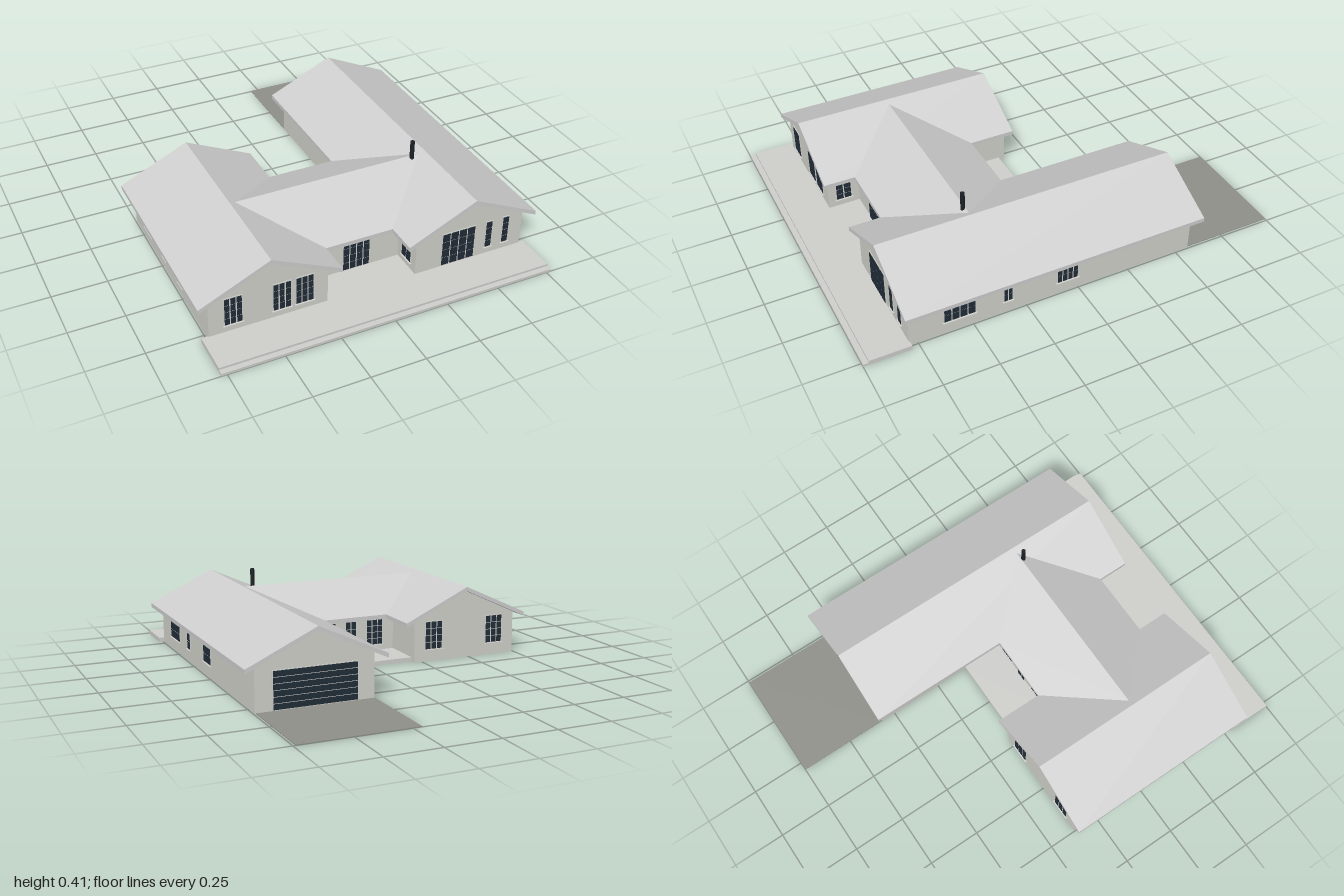
import * as THREE from 'three';

const mat = (name, color) => {
  const m = new THREE.MeshStandardMaterial({ color });
  m.name = name;
  return m;
};

export function createModel() {
  const house = new THREE.Group();
  house.name = 'house';
  const wall = mat('wall render', 0xd2d2cc);
  const roof = mat('roof sheet', 0xcfcfcf);
  const trim = mat('trim', 0xd4d4d0);
  const paving = mat('paving', 0xcfcfcc);
  const drive = mat('driveway concrete', 0x90908a);
  const glass = mat('dark glass', 0x212d38);
  const flue = mat('flue metal', 0x1c2126);

  const add = (name, geo, material, parent = house) => {
    const m = new THREE.Mesh(geo, material);
    m.name = name;
    parent.add(m);
    return m;
  };
  // box given by its limits on each axis
  const box = (name, material, x0, x1, y0, y1, z0, z1, parent) => {
    const m = add(name, new THREE.BoxGeometry(x1 - x0, y1 - y0, z1 - z0), material, parent);
    m.position.set((x0 + x1) / 2, (y0 + y1) / 2, (z0 + z1) / 2);
    return m;
  };
  // cross-section in x/y, extruded from z0 to z1
  const prism = (name, material, pts, x, z0, z1) => {
    const shape = new THREE.Shape(pts.map(p => new THREE.Vector2(...p)));
    const m = add(name, new THREE.ExtrudeGeometry(shape, { depth: z1 - z0, bevelEnabled: false }), material);
    m.position.set(x, 0, z0);
  };

  // ground slabs, front terrace steps, back patio, driveway
  box('terrace', paving, -0.775, 0.77, 0, 0.022, 0.785, 0.975);
  box('terraceStep', paving, -0.775, 0.77, 0, 0.012, 0.975, 1);
  box('entryFloor', paving, -0.21, 0.21, 0, 0.022, 0.63, 0.785);
  box('backPatio', paving, -0.21, 0.21, 0, 0.02, -0.09, 0.12);
  box('driveway', drive, 0.21, 0.74, 0, 0.003, -1, -0.57);

  // two gabled wings
  const wings = [['left', -0.477, -0.12, -0.14], ['right', 0.477, -0.567, -0.6]];
  for (const [side, x, wallBack, roofBack] of wings) {
    prism(side + 'WingWalls', wall,
      [[-0.267, 0], [0.267, 0], [0.267, 0.2], [0, 0.324], [-0.267, 0.2]], x, wallBack, 0.79);
    prism(side + 'WingRoof', roof,
      [[-0.318, 0.178], [0, 0.325], [0.318, 0.178], [0.318, 0.198], [0, 0.345], [-0.318, 0.198]], x, roofBack, 0.818);
  }

  // linking block, with a roof that meets both wings in valleys
  box('linkWalls', wall, -0.22, 0.22, 0, 0.19, 0.11, 0.64);
  const pos = [];
  const quad = (a, b, c, d) => pos.push(...a, ...b, ...c, ...a, ...c, ...d);
  const ridgeZ = 0.375;
  for (const s of [1, -1]) {
    const z = ridgeZ + s * 0.295;
    const eave = (x, y) => [s * x, y, z];
    const ridge = (x, y) => [s * x, y, ridgeZ];
    quad(eave(-0.16, 0.198), eave(0.16, 0.198), ridge(0.449, 0.333), ridge(-0.449, 0.333));
    quad(eave(-0.16, 0.178), eave(0.16, 0.178), eave(0.16, 0.198), eave(-0.16, 0.198));
    quad(ridge(-0.449, 0.313), ridge(0.449, 0.313), eave(0.16, 0.178), eave(-0.16, 0.178));
  }
  const linkGeo = new THREE.BufferGeometry();
  linkGeo.setAttribute('position', new THREE.Float32BufferAttribute(pos, 3));
  linkGeo.computeVertexNormals();
  add('linkRoof', linkGeo, roof);

  // flue pipe
  add('flue', new THREE.CylinderGeometry(0.01, 0.01, 0.115, 12), flue).position.set(0.408, 0.3575, 0.385);

  // glazed opening: thin trim plate, grid of dark panes, optional sill
  const turn = { front: 0, right: Math.PI / 2, back: Math.PI, left: -Math.PI / 2 };
  const opening = (name, face, x, z, w, y0, y1, cols, rows, sill = true, gap = 0.006) => {
    const g = new THREE.Group();
    g.name = name;
    g.position.set(x, 0, z);
    g.rotation.y = turn[face];
    house.add(g);
    box('frame', trim, -w / 2 - 0.005, w / 2 + 0.005, y0 - 0.004, y1 + 0.004, -0.001, 0.003, g);
    const pw = (w - gap * (cols - 1)) / cols, vgap = 0.003;
    const ph = (y1 - y0 - vgap * (rows - 1)) / rows;
    for (let c = 0; c < cols; c++) for (let r = 0; r < rows; r++) {
      const px = -w / 2 + c * (pw + gap), py = y0 + r * (ph + vgap);
      box('pane', glass, px, px + pw, py, py + ph, 0.001, 0.005, g);
    }
    if (sill) box('sill', trim, -w / 2 - 0.008, w / 2 + 0.008, y0 - 0.007, y0 - 0.003, 0, 0.01, g);
  };

  // front face
  for (const x of [-0.636, -0.42, -0.317]) opening('frontWindow', 'front', x, 0.79, 0.076, 0.06, 0.19, 3, 4);
  for (const x of [0.573, 0.659]) opening('narrowFrontWindow', 'front', x, 0.79, 0.028, 0.06, 0.19, 1, 4);
  opening('terraceDoors', 'front', 0.419, 0.79, 0.16, 0.03, 0.19, 4, 4, false);
  opening('entryDoors', 'front', 0, 0.64, 0.124, 0.028, 0.175, 4, 4, false);
  // inner faces beside the entry
  opening('entrySideWindow', 'right', -0.21, 0.715, 0.07, 0.06, 0.17, 2, 4);
  opening('entrySideWindow', 'left', 0.21, 0.715, 0.07, 0.06, 0.17, 2, 4);
  // right side
  for (const [z, w, cols] of [[0.56, 0.14, 4], [0.337, 0.036, 2], [0.053, 0.096, 4]])
    opening('rightSideWindow', 'right', 0.744, z, w, 0.065, 0.175, cols, 3);
  // left side
  for (const [z, w, cols] of [[0.07, 0.09, 3], [0.285, 0.04, 2], [0.48, 0.05, 2]])
    opening('leftSideWindow', 'left', -0.744, z, w, 0.065, 0.165, cols, 3);
  // back faces
  for (const x of [-0.31, -0.636]) opening('backWindow', 'back', x, -0.12, 0.085, 0.06, 0.19, 3, 4);
  opening('patioSideWindow', 'left', 0.21, 0.04, 0.07, 0.05, 0.165, 2, 4);
  opening('patioWindow', 'back', 0.135, 0.11, 0.08, 0.05, 0.17, 3, 4);
  opening('patioDoor', 'back', 0.015, 0.11, 0.05, 0.024, 0.17, 2, 4, false);
  opening('patioWindow', 'back', -0.11, 0.11, 0.08, 0.05, 0.17, 3, 4);
  opening('garageDoor', 'back', 0.477, -0.567, 0.375, 0.006, 0.17, 1, 6, false);

  return house;
}
